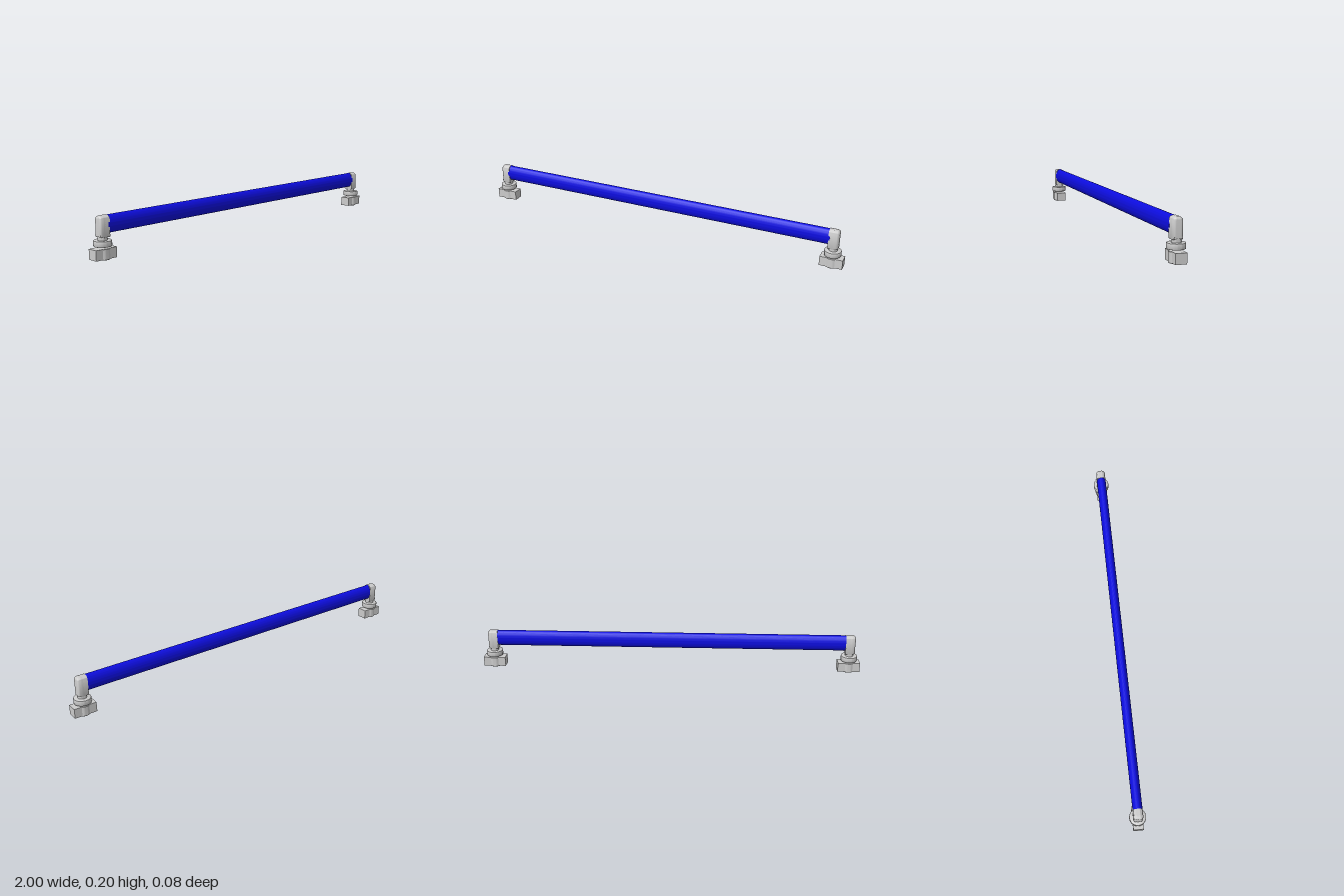
import * as THREE from 'three';
import { toCreasedNormals } from 'three/addons/utils/BufferGeometryUtils.js';

const grey = new THREE.MeshStandardMaterial({ color: 0xcccccc });
const blue = new THREE.MeshStandardMaterial({ color: 0x0d0de0 });

function part(name, geometry, material = grey) {
  const mesh = new THREE.Mesh(toCreasedNormals(geometry, 0.6), material);
  mesh.name = name;
  return mesh;
}

// Turned solid from [radius, y] pairs, bottom to top
function turned(name, profile) {
  const points = profile.map(([r, y]) => new THREE.Vector2(r, y));
  return part(name, new THREE.LatheGeometry(points, 40));
}

// End-cap section across the rail: well rounded top, nearly square bottom
function capSection() {
  const w = 0.024, bottom = 0.101, top = 0.2, r = 0.019, b = 0.004;
  const s = new THREE.Shape();
  s.moveTo(-w + b, bottom);
  s.lineTo(w - b, bottom);
  s.quadraticCurveTo(w, bottom, w, bottom + b);
  s.lineTo(w, top - r);
  s.absarc(w - r, top - r, r, 0, Math.PI / 2, false);
  s.absarc(-w + r, top - r, r, Math.PI / 2, Math.PI, false);
  s.lineTo(-w, bottom + b);
  s.quadraticCurveTo(-w, bottom, -w + b, bottom);
  return s;
}

// Section extruded along x between two positions
function capPiece(name, x0, x1, bevel) {
  const g = new THREE.ExtrudeGeometry(capSection(), {
    depth: x1 - x0 - 2 * bevel, curveSegments: 8, bevelEnabled: bevel > 0,
    bevelThickness: bevel, bevelSize: bevel, bevelOffset: -bevel, bevelSegments: 5,
  });
  g.translate(0, 0, bevel);
  g.rotateY(Math.PI / 2);
  g.translate(x0, 0, 0);
  return part(name, g);
}

// One mount, with its vertical axis at x = 0 and the rail on its -x side
function createMount(name) {
  const mount = new THREE.Group();
  mount.name = name;

  // Elbow cap: flat towards the rail, softened outside
  mount.add(capPiece('capInner', -0.025, 0.002, 0));
  mount.add(capPiece('capOuter', -0.016, 0.026, 0.014));

  mount.add(turned('neck', [[0, 0.08], [0.022, 0.08], [0.022, 0.105], [0, 0.105]]));
  mount.add(turned('washer', [
    [0, 0.06], [0.039, 0.06], [0.0412, 0.061], [0.042, 0.063],
    [0.042, 0.084], [0.0412, 0.087], [0.039, 0.088], [0, 0.088],
  ]));

  // Slot nut: a bar with a round boss through its middle
  const bar = part('nutBar', new THREE.BoxGeometry(0.115, 0.049, 0.053));
  bar.position.y = 0.0275;
  mount.add(bar);
  mount.add(turned('nutBoss', [
    [0, 0], [0.031, 0], [0.033, 0.002], [0.033, 0.05], [0.031, 0.052], [0, 0.052],
  ]));
  return mount;
}

export function createModel() {
  const model = new THREE.Group();
  model.name = 'grabHandle';

  // Oval rail
  const railGeometry = new THREE.CylinderGeometry(1, 1, 1.85, 48);
  railGeometry.rotateZ(Math.PI / 2);
  railGeometry.scale(1, 0.042, 0.0245);
  const rail = part('rail', railGeometry, blue);
  rail.position.set(0, 0.158, 0.0005);
  model.add(rail);

  // Mounts at both ends, the right one turned round
  for (const side of [1, -1]) {
    const mount = createMount(side > 0 ? 'leftMount' : 'rightMount');
    mount.position.x = side * 0.9425;
    if (side < 0) mount.rotation.y = Math.PI;
    model.add(mount);
  }
  return model;
}
